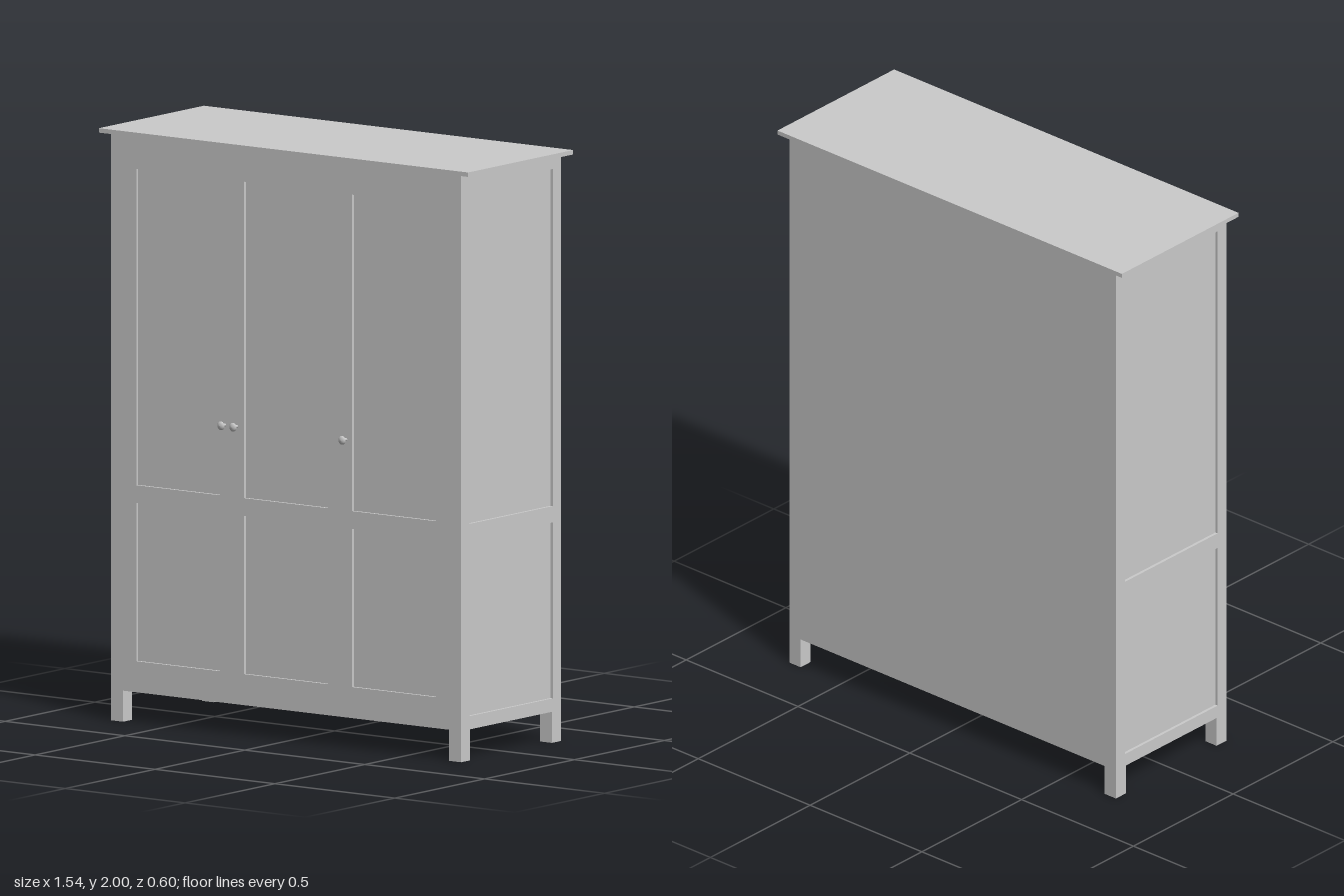
import * as THREE from 'three';

const BOTTOM = 0.105, TOP = 1.985, HALF = 0.73, BACK = -0.285, FRONT = 0.27, INSET = 0.01;
const material = new THREE.MeshStandardMaterial({ color: 0xcccccc });

function add(parent, name, geometry, x = 0, y = 0, z = 0) {
  const mesh = new THREE.Mesh(geometry, material);
  mesh.name = name;
  mesh.position.set(x, y, z);
  parent.add(mesh);
  return mesh;
}

// Box given by its limits on each axis
function block(parent, name, x0, x1, y0, y1, z0, z1) {
  return add(parent, name, new THREE.BoxGeometry(x1 - x0, y1 - y0, z1 - z0),
    (x0 + x1) / 2, (y0 + y1) / 2, (z0 + z1) / 2);
}

function trace(path, x0, x1, y0, y1) {
  path.moveTo(x0, y0);
  path.lineTo(x1, y0);
  path.lineTo(x1, y1);
  path.lineTo(x0, y1);
  path.closePath();
  return path;
}

// Flat frame with rectangular openings, as thick as the panel inset
function frame(outer, openings) {
  const shape = trace(new THREE.Shape(), ...outer);
  for (const o of openings) shape.holes.push(trace(new THREE.Path(), ...o));
  return new THREE.ExtrudeGeometry(shape, { depth: INSET, bevelEnabled: false });
}

export function createModel() {
  const group = new THREE.Group();
  group.name = 'wardrobe';

  // Carcass; its faces form the recessed panels
  block(group, 'carcass', -HALF + INSET, HALF - INSET, BOTTOM, TOP, BACK, FRONT - INSET);
  block(group, 'topBoard', -0.77, 0.77, TOP, 2, -0.3, 0.285);

  // Front frame around the doors
  add(group, 'frontFrame',
    frame([-HALF, HALF, BOTTOM, TOP], [[-0.675, 0.675, 0.16, 1.925]]), 0, 0, FRONT - INSET);

  // Three flush doors, each with a low and a tall panel
  for (const [i, x] of [-0.45, 0, 0.45].entries()) {
    add(group, ['rightDoor', 'middleDoor', 'leftDoor'][i],
      frame([-0.225, 0.225, 0.16, 1.925],
        [[-0.175, 0.175, 0.21, 0.745], [-0.175, 0.175, 0.805, 1.875]]), x, 0, FRONT - INSET);
  }

  // Side frames: shape x runs along -z once turned to face +x
  for (const side of [-1, 1]) {
    const mesh = add(group, side > 0 ? 'leftSideFrame' : 'rightSideFrame',
      frame([-FRONT + INSET, -BACK, BOTTOM, TOP],
        [[-0.225, 0.24, 0.15, 0.745], [-0.225, 0.24, 0.8, 1.94]]),
      side > 0 ? HALF - INSET : -HALF);
    mesh.rotation.y = Math.PI / 2;
  }

  // Legs
  for (const s of [-1, 1]) {
    const x0 = s > 0 ? HALF - 0.05 : -HALF;
    block(group, 'frontLeg', x0, x0 + 0.05, 0, BOTTOM, FRONT - 0.05, FRONT);
    block(group, 'backLeg', x0, x0 + 0.05, 0, BOTTOM, BACK, BACK + 0.05);
  }

  // Door knobs: slim stem and flattened head
  const profile = [[0.005, 0], [0.005, 0.017], [0.012, 0.019], [0.015, 0.023],
    [0.012, 0.027], [0.006, 0.029], [0, 0.03]].map(([r, y]) => new THREE.Vector2(r, y));
  const knobGeometry = new THREE.LatheGeometry(profile, 24).rotateX(Math.PI / 2);
  for (const x of [-0.255, -0.205, 0.25]) add(group, 'knob', knobGeometry, x, 1.045, FRONT);

  return group;
}
